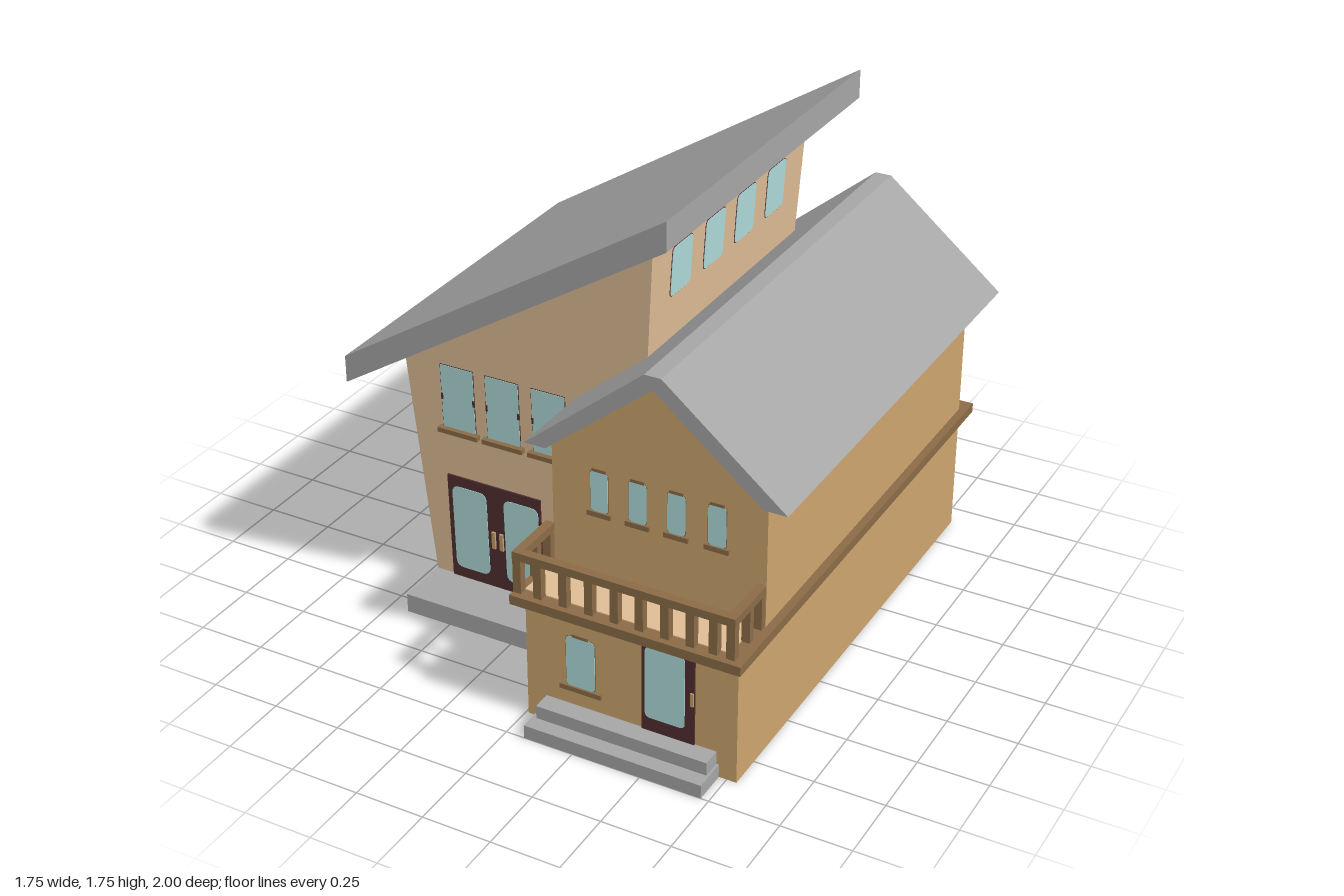
import * as THREE from 'three';

export function createModel() {
  const house = new THREE.Group();
  house.name = 'house';

  const mat = (name, color) => {
    const m = new THREE.MeshStandardMaterial({ color, side: THREE.DoubleSide });
    m.name = name;
    return m;
  };
  const cream = mat('cream wall', 0xdfbd96);
  const ochre = mat('ochre wall', 0xcca46e);
  const grey = mat('grey roof and stone', 0xa5a5a5);
  const dark = mat('dark soffit', 0x69523a);
  const wood = mat('brown timber', 0x8b6b47);
  const maroon = mat('maroon frame', 0x522e30);
  const glass = mat('pale blue glass', 0xb0dcdb);
  const brass = mat('brass handle', 0xc29e6a);

  const add = (parent, name, geometry, material) => {
    const m = new THREE.Mesh(geometry, material);
    m.name = name;
    parent.add(m);
    return m;
  };
  const group = (name, parent = house) => {
    const g = new THREE.Group();
    g.name = name;
    parent.add(g);
    return g;
  };
  // Box given by its limits on each axis
  const box = (parent, name, material, x0, x1, y0, y1, z0, z1) => {
    const m = add(parent, name, new THREE.BoxGeometry(x1 - x0, y1 - y0, z1 - z0), material);
    m.position.set((x0 + x1) / 2, (y0 + y1) / 2, (z0 + z1) / 2);
    return m;
  };
  // Open surface: a path in x,y swept from z0 (back) to z1 (front), flaring by lean with height
  const strip = (path, z0, z1, lean = 0) => {
    const pos = [];
    for (let i = 0; i < path.length - 1; i++) {
      const [ax, ay] = path[i], [bx, by] = path[i + 1];
      const a0 = [ax, ay, z0 - lean * ay], a1 = [ax, ay, z1 + lean * ay];
      const b0 = [bx, by, z0 - lean * by], b1 = [bx, by, z1 + lean * by];
      pos.push(...a0, ...a1, ...b1, ...a0, ...b1, ...b0);
    }
    const g = new THREE.BufferGeometry();
    g.setAttribute('position', new THREE.Float32BufferAttribute(pos, 3));
    g.computeVertexNormals();
    return g;
  };
  // Front and back end faces
  const caps = (parent, name, path, z0, z1, material, lean = 0) => {
    const shape = new THREE.Shape(path.map(p => new THREE.Vector2(p[0], p[1])));
    for (const [label, z, s] of [['Back', z0, -1], ['Front', z1, 1]]) {
      const m = add(parent, name + label, new THREE.ShapeGeometry(shape), material);
      m.position.z = z;
      m.rotation.x = s * Math.atan(lean);
    }
  };
  // Walls with an open underside
  const walls = (name, path, z0, z1, material, lean) => {
    const g = group(name);
    add(g, 'sideWalls', strip(path, z0, z1, lean), material);
    caps(g, 'wall', path, z0, z1, material, lean);
  };
  const roof = (name, outer, inner, z0, z1) => {
    const g = group(name);
    add(g, 'roofTop', strip(outer, z0, z1), grey);
    add(g, 'roofUnderside', strip(inner, z0, z1), dark);
    caps(g, 'roofEdge', [...outer, ...inner.slice(1, -1)], z0, z1, grey);
  };
  // Thin plate with rounded corners, standing on its bottom edge
  const plate = (w, h, r, t) => {
    const s = new THREE.Shape(), a = w / 2;
    s.moveTo(-a + r, 0);
    s.lineTo(a - r, 0);
    s.quadraticCurveTo(a, 0, a, r);
    s.lineTo(a, h - r);
    s.quadraticCurveTo(a, h, a - r, h);
    s.lineTo(-a + r, h);
    s.quadraticCurveTo(-a, h, -a, h - r);
    s.lineTo(-a, r);
    s.quadraticCurveTo(-a, 0, -a + r, 0);
    return new THREE.ExtrudeGeometry(s, { depth: t, bevelEnabled: false, curveSegments: 4 });
  };
  // Window facing local +z, origin at the bottom middle of the pane
  const window_ = (parent, w, h, r, frame, { border = 0.002, sill = 0, sillDepth = 0.01, header = 0 } = {}) => {
    const g = group('window', parent);
    if (border) {
      add(g, 'windowFrame', plate(w + 2 * border, h + 2 * border, r, 0.0015), frame).position.set(0, -border, 0.0005);
    }
    add(g, 'windowPane', plate(w, h, r, 0.003), glass).position.z = 0.0005;
    if (sill) box(g, 'windowSill', wood, -sill / 2, sill / 2, -0.018, 0, 0, sillDepth);
    if (header) box(g, 'windowHeader', wood, -header / 2, header / 2, h - 0.002, h + 0.009, 0, 0.005);
    return g;
  };

  // Main house with outward-leaning walls and a single-pitch roof
  walls('mainHouse', [[-0.667, 0], [-0.75, 0.956], [0.23, 1.572], [0.13, 0]], -0.645, 0.37, cream, 0.03);
  roof('mainRoof',
    [[-0.875, 0.875], [-0.875, 0.975], [0.36, 1.755], [0.36, 1.65]],
    [[0.36, 1.65], [-0.875, 0.875]], -0.845, 0.57);
  box(house, 'mainPorch', grey, -0.675, 0.01, 0, 0.072, 0.373, 0.57);

  // Side wing: deeper ground floor, gabled upper floor
  const ground = group('wingGroundFloor');
  for (const x of [0.01, 0.785]) {
    add(ground, 'sideWall', strip([[x, 0], [x, 0.46]], -0.905, 0.875), ochre);
  }
  caps(ground, 'wall', [[0.01, 0], [0.01, 0.46], [0.785, 0.46], [0.785, 0]], -0.905, 0.875, ochre);
  walls('wingUpperFloor',
    [[0.01, 0.46], [0.01, 0.947], [0.4, 1.262], [0.785, 0.947], [0.785, 0.46]], -0.905, 0.69, ochre);
  roof('wingRoof',
    [[-0.07, 0.945], [0.37, 1.308], [0.43, 1.308], [0.87, 0.945]],
    [[0.87, 0.945], [0.785, 0.945], [0.4, 1.26], [0.01, 0.945], [-0.07, 0.945]], -1.0, 0.73);

  // Timber band around the wing, balcony floor and railing
  const balcony = group('balcony');
  box(balcony, 'balconySlab', wood, -0.02, 0.815, 0.455, 0.49, 0.691, 0.925);
  box(balcony, 'rightBand', wood, 0.786, 0.815, 0.455, 0.49, -0.965, 0.691);
  box(balcony, 'leftBand', wood, -0.02, 0.009, 0.455, 0.49, -0.965, 0.691);
  box(balcony, 'backBand', wood, 0.009, 0.786, 0.455, 0.49, -0.965, -0.906);
  box(balcony, 'balconyFloor', cream, 0.01, 0.755, 0.489, 0.494, 0.691, 0.875);
  box(balcony, 'frontRail', wood, -0.018, 0.785, 0.615, 0.645, 0.873, 0.905);
  for (const x of [-0.018, 0.753]) {
    box(balcony, 'sideRail', wood, x, x + 0.032, 0.615, 0.645, 0.69, 0.873);
    for (const z of [0.69, 0.772]) {
      box(balcony, 'sideBaluster', wood, x, x + 0.03, 0.49, 0.615, z, z + 0.025);
    }
  }
  for (const x of [-0.003, 0.073, 0.167, 0.262, 0.355, 0.445, 0.537, 0.627, 0.708, 0.769]) {
    box(balcony, 'frontBaluster', wood, x - 0.015, x + 0.015, 0.49, 0.615, 0.875, 0.903);
  }

  // Wing entrance steps
  box(house, 'lowerStep', grey, 0.068, 0.722, 0, 0.05, 0.876, 1.0);
  box(house, 'upperStep', grey, 0.083, 0.713, 0.05, 0.098, 0.876, 0.945);

  // Wing door
  const wingDoor = group('wingDoor');
  box(wingDoor, 'doorPanel', maroon, 0.443, 0.635, 0.098, 0.455, 0.876, 0.882);
  add(wingDoor, 'doorGlass', plate(0.145, 0.275, 0.02, 0.003), glass).position.set(0.528, 0.15, 0.881);
  box(wingDoor, 'doorHandle', brass, 0.622, 0.633, 0.25, 0.3, 0.882, 0.888);

  // Leaning front of the main house: double door and upper windows
  const mainFront = group('mainFront');
  mainFront.position.z = 0.37;
  mainFront.rotation.x = Math.atan(0.03);
  box(mainFront, 'doorPanel', maroon, -0.602, -0.225, 0.072, 0.495, 0.001, 0.007);
  for (const s of [-1, 1]) {
    const x = -0.409 + s * 0.105;
    add(mainFront, 'doorGlass', plate(0.14, 0.34, 0.03, 0.003), glass).position.set(x, 0.115, 0.006);
    const h = -0.404 + s * 0.016;
    box(mainFront, 'doorHandle', brass, h - 0.007, h + 0.007, 0.24, 0.308, 0.007, 0.015);
  }
  for (const x of [-0.54, -0.361, -0.179]) {
    const w = window_(mainFront, 0.13, 0.245, 0.004, maroon, { sill: 0.16, sillDepth: 0.022 });
    w.position.set(x, 0.69, 0);
    for (const s of [-1, 1]) {
      box(w, 'windowHinge', maroon, s * 0.063 - 0.004, s * 0.063 + 0.004, 0.108, 0.132, 0.001, 0.005);
    }
  }

  // Main house high side windows, following the leaning wall
  for (const z of [0.21, -0.02, -0.245, -0.475]) {
    const w = window_(house, 0.137, 0.18, 0.02, maroon);
    w.rotation.set(0, Math.PI / 2, -Math.atan(0.0636), 'ZYX');
    w.position.set(0.13 + 0.0636 * 1.333, 1.333, z);
  }

  // Wing windows: upper front row and back row
  for (const x of [0.185, 0.325, 0.465, 0.61]) {
    window_(house, 0.064, 0.15, 0.015, wood, { sill: 0.088, header: 0.05 }).position.set(x, 0.738, 0.69);
    const back = window_(house, 0.06, 0.14, 0.015, glass, { border: 0 });
    back.rotation.y = Math.PI;
    back.position.set(x, 0.265, -0.905);
  }
  window_(house, 0.107, 0.195, 0.02, wood, { sill: 0.155, header: 0.06 }).position.set(0.215, 0.172, 0.875);

  return house;
}
